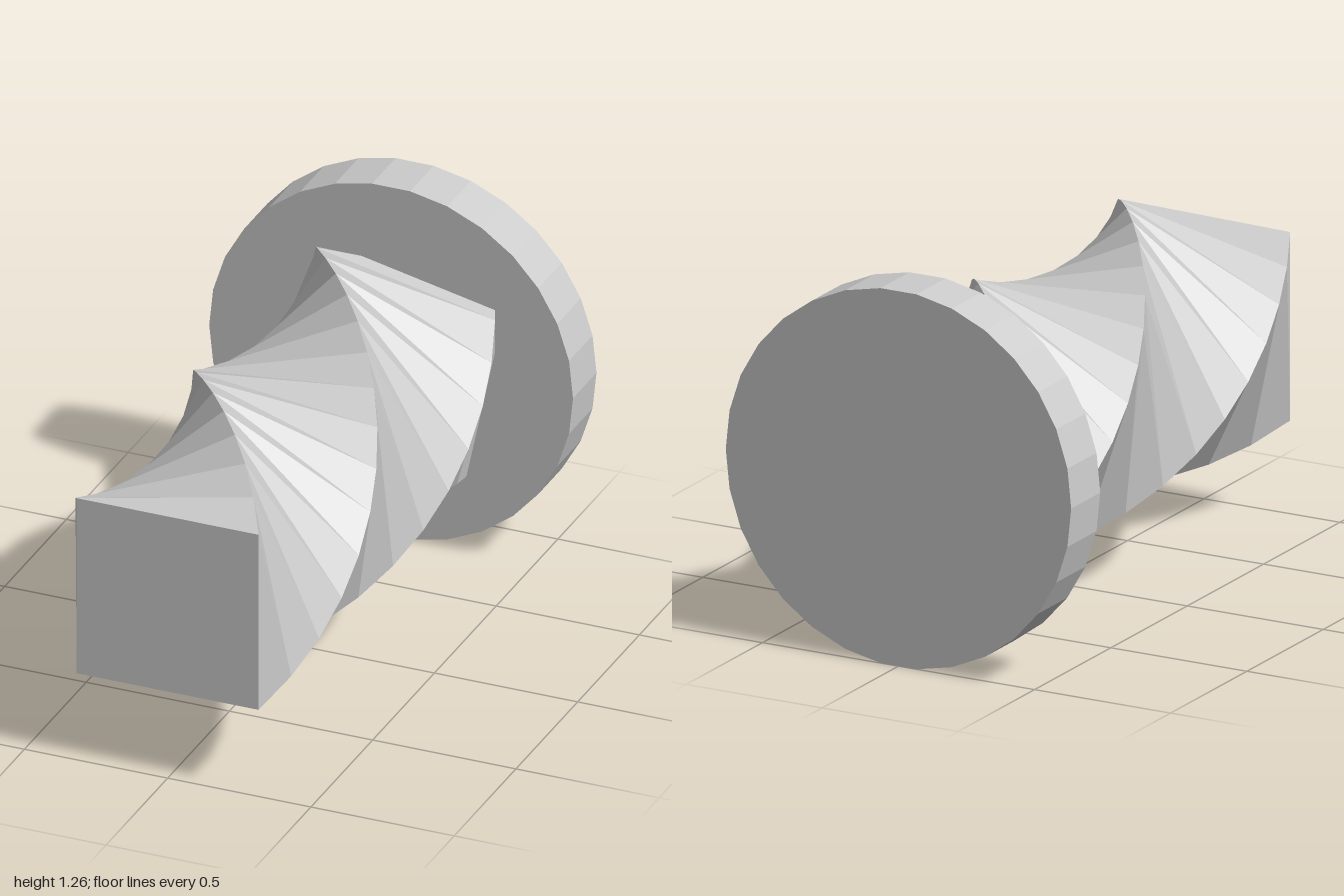
import * as THREE from 'three';

const U = 2 / 15.75;               // one twist step along the shaft
const STEPS = 15;
const TWIST = Math.PI / 15;        // turn per step
const DISC_R = 5 * U;
const AXIS_Y = DISC_R * Math.cos(Math.PI / 30);

// Square prism along z, each ring turned a little further than the one in front
function twistedPrism() {
  const length = STEPS * U;
  const geo = new THREE.CylinderGeometry(
    2.5 * Math.SQRT2 * U, 2.5 * Math.SQRT2 * U, length, 4, STEPS, false, Math.PI / 4);
  geo.rotateX(Math.PI / 2);
  geo.translate(0, 0, 1 - length / 2);
  const pos = geo.attributes.position;
  const v = new THREE.Vector3();
  const axis = new THREE.Vector3(0, 0, 1);
  for (let i = 0; i < pos.count; i++) {
    v.fromBufferAttribute(pos, i);
    v.applyAxisAngle(axis, ((1 - v.z) / U) * TWIST);
    pos.setXYZ(i, v.x, v.y, v.z);
  }
  const flat = geo.toNonIndexed();
  flat.computeVertexNormals();
  return flat;
}

export function createModel() {
  const group = new THREE.Group();
  group.name = 'twistedKnob';
  const material = new THREE.MeshStandardMaterial({ color: 0xcccccc, flatShading: true });

  // Twisted square shaft, sunk halfway into the disc
  const shaft = new THREE.Mesh(twistedPrism(), material);
  shaft.name = 'twistedShaft';

  // Round base disc at the back
  const discGeo = new THREE.CylinderGeometry(DISC_R, DISC_R, 1.5 * U, 30, 1, false, Math.PI / 2);
  discGeo.rotateX(Math.PI / 2);
  const disc = new THREE.Mesh(discGeo, material);
  disc.name = 'baseDisc';
  disc.position.z = -1 + 0.75 * U;

  for (const part of [shaft, disc]) {
    part.position.y = AXIS_Y;
    group.add(part);
  }
  return group;
}
